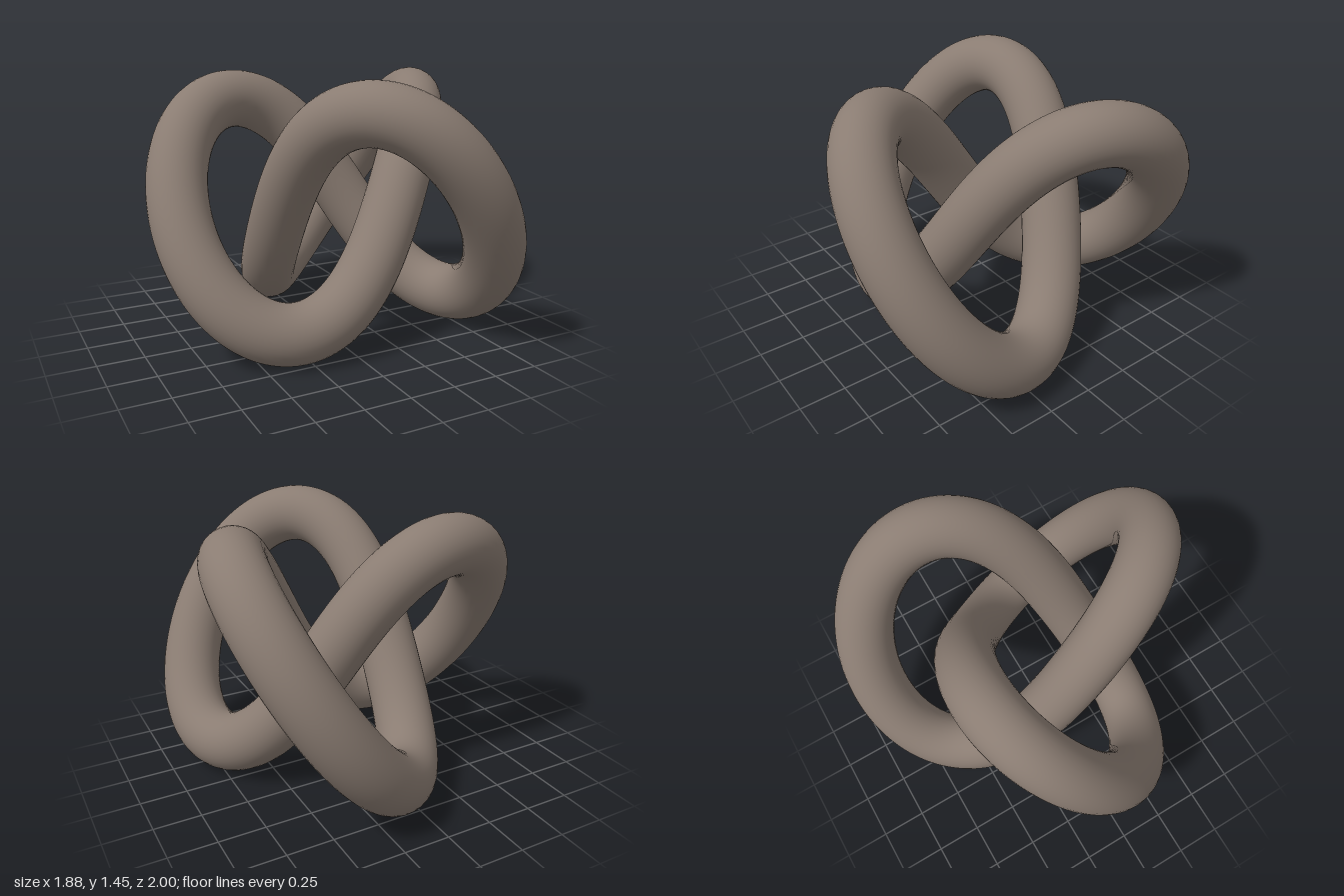
import * as THREE from 'three';

// Closed three-lobed knot winding twice round the vertical axis
class KnotCurve extends THREE.Curve {
  getPoint(t, target = new THREE.Vector3()) {
    const u = t * Math.PI * 2;
    const b = 0.454;
    const k = 1 - b * Math.cos(3 * u);
    const r = 0.5 / k;
    const lift = 0.5625 * Math.sqrt(1 - b * b) * Math.sin(3 * u) / k;
    return target.set(0.138 - r * Math.cos(2 * u), 0.725 + lift, -r * Math.sin(2 * u));
  }
}

export function createModel() {
  const model = new THREE.Group();
  model.name = 'knotSculpture';

  const clay = new THREE.MeshStandardMaterial({ color: 0x8a7c72 });
  clay.name = 'warm grey';

  // Round tube following the knot
  const knot = new THREE.Mesh(new THREE.TubeGeometry(new KnotCurve(), 360, 0.162, 32, true), clay);
  knot.name = 'knotTube';
  model.add(knot);

  return model;
}
